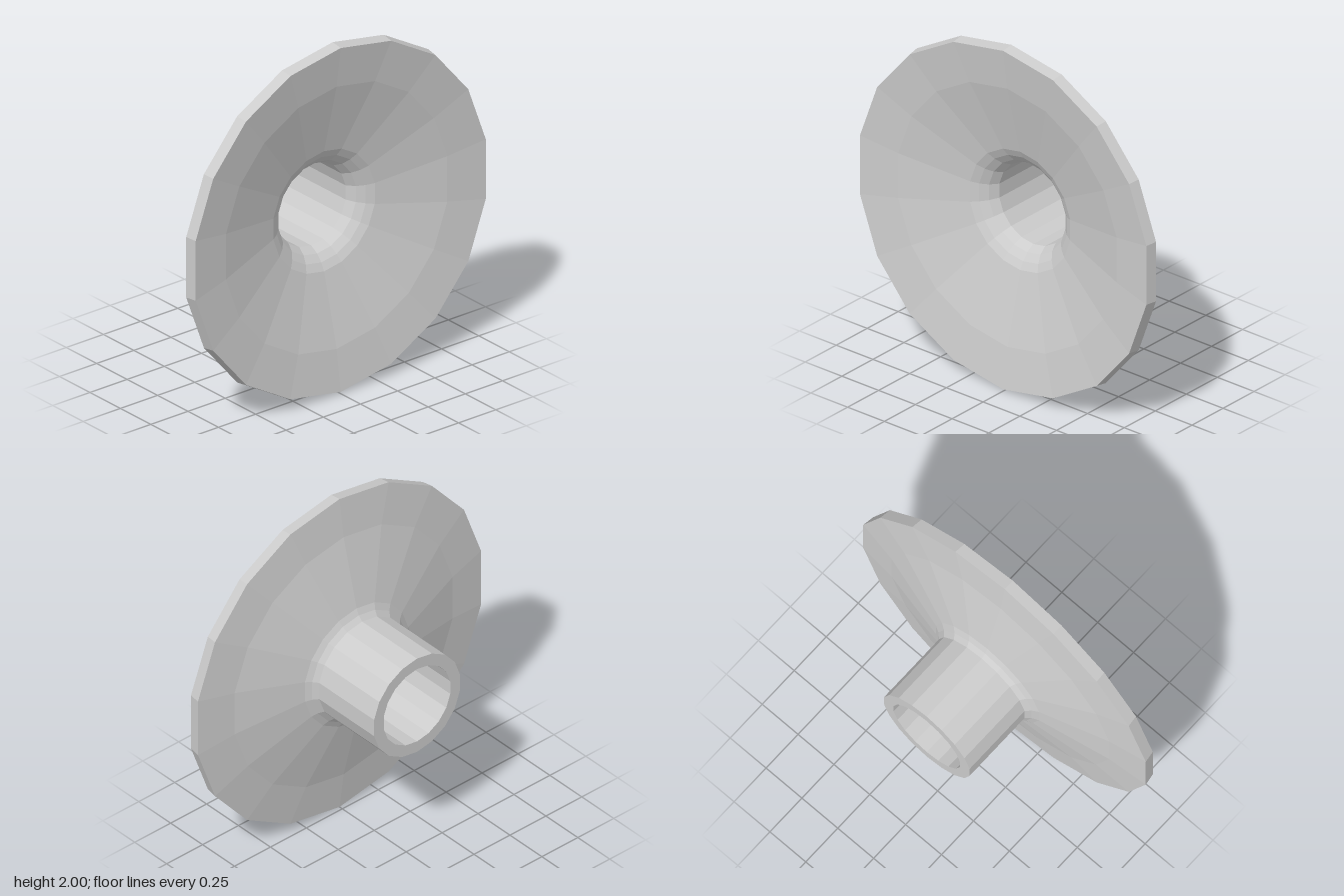
import * as THREE from 'three';

const SIDES = 18;
const material = new THREE.MeshStandardMaterial({ color: 0xcccccc, flatShading: true });

// Turn a [radius, z] profile around the z axis
function turned(name, profile) {
  const points = profile.map(([r, z]) => new THREE.Vector2(r, z));
  const geometry = new THREE.LatheGeometry(points, SIDES);
  geometry.rotateX(Math.PI / 2);
  const mesh = new THREE.Mesh(geometry, material);
  mesh.name = name;
  return mesh;
}

export function createModel() {
  const group = new THREE.Group();
  group.name = 'flaredCollar';

  // Hollow stem: bore, back ring and outer wall
  group.add(turned('stem', [
    [0.235, 0.095], [0.235, -0.335], [0.303, -0.335], [0.303, 0.095],
  ]));

  // Back of the flare
  group.add(turned('flareBack', [
    [0.303, 0.095], [0.33, 0.12], [0.365, 0.138], [0.77, 0.24], [1, 0.272],
  ]));

  // Slightly tapered outer rim
  group.add(turned('rim', [[1, 0.272], [0.99, 0.338]]));

  // Dished front, rounding into the bore
  group.add(turned('flareFront', [
    [0.99, 0.338], [0.755, 0.304], [0.346, 0.201],
    [0.303, 0.178], [0.264, 0.144], [0.235, 0.095],
  ]));

  group.position.y = 1;
  return group;
}
